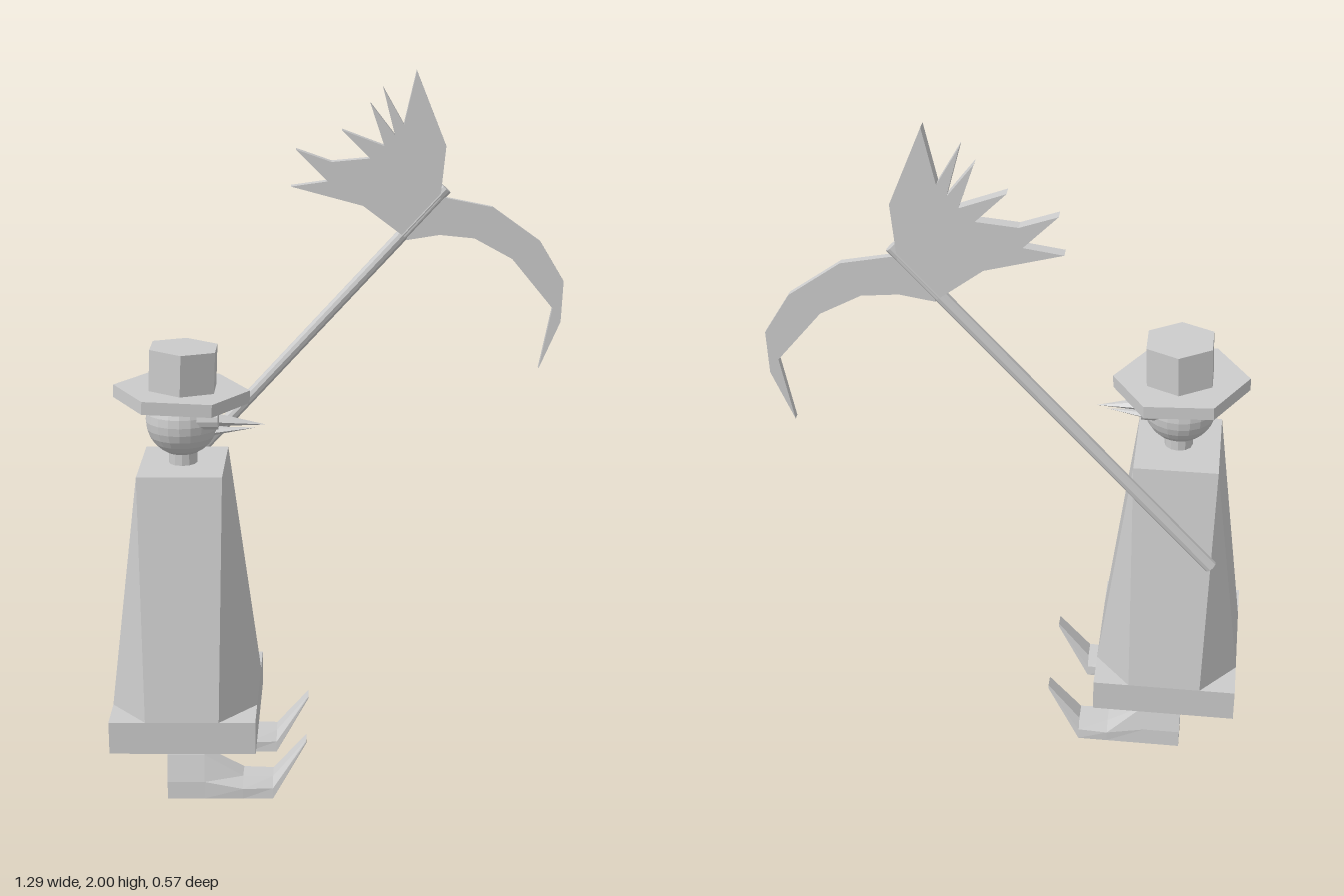
import * as THREE from 'three';

const material = new THREE.MeshStandardMaterial({ color: 0xcccccc, flatShading: true, side: THREE.DoubleSide });
const CX = -0.445, CZ = 0.035;   // figure axis
const SZ = -0.265;               // plane of the scythe

function add(parent, name, geometry, x = 0, y = 0, z = 0) {
  const mesh = new THREE.Mesh(geometry, material);
  mesh.name = name;
  mesh.position.set(x, y, z);
  parent.add(mesh);
  return mesh;
}

// Geometry from triangles given as lists of points; quads are split
function faces(list) {
  const p = [];
  for (const f of list)
    for (let i = 1; i < f.length - 1; i++) p.push(...f[0], ...f[i], ...f[i + 1]);
  const g = new THREE.BufferGeometry();
  g.setAttribute('position', new THREE.Float32BufferAttribute(p, 3));
  g.computeVertexNormals();
  return g;
}

// Flat outline in the xy plane, thickened evenly about its middle
function plate(points, depth) {
  const shape = new THREE.Shape(points.map(([x, y]) => new THREE.Vector2(x, y)));
  return new THREE.ExtrudeGeometry(shape, { depth, bevelEnabled: false }).translate(0, 0, -depth / 2);
}

// Robe: tapering sides with triangular chamfers at the corners
function robeGeometry() {
  const w = 0.205, d = 0.25, tw = 0.118, td = 0.145, iw = 0.103, id = 0.13;
  const y0 = 0.26, y1 = 0.945;
  const list = [[[-tw, y1, td], [tw, y1, td], [tw, y1, -td], [-tw, y1, -td]]];
  for (const s of [1, -1]) {
    list.push([[-s * iw, y0, s * d], [s * iw, y0, s * d], [s * tw, y1, s * td], [-s * tw, y1, s * td]]);
    list.push([[s * w, y0, s * id], [s * w, y0, -s * id], [s * tw, y1, -s * td], [s * tw, y1, s * td]]);
    for (const t of [1, -1]) {
      const P = [s * iw, y0, t * d], Q = [s * w, y0, t * id], T = [s * tw, y1, t * td];
      list.push(s * t > 0 ? [P, Q, T] : [Q, P, T]);
    }
  }
  return faces(list);
}

// Boot: cross-sections from heel to the upturned toe
function bootGeometry() {
  // [x, bottom y, bottom half width, middle y, middle half width, top y, top half width]
  const rows = [
    [-0.495, 0, 0.05, 0.05, 0.046, 0.125, 0.025],
    [-0.39, 0, 0.05, 0.05, 0.046, 0.125, 0.025],
    [-0.28, 0, 0.05, 0.03, 0.05, 0.062, 0.03],
    [-0.195, 0, 0.05, 0.03, 0.046, 0.06, 0.028],
    [-0.1, 0.16, 0.022, 0.165, 0.022, 0.17, 0.02],
  ];
  const rings = rows.map(([x, a, u, b, v, c, t]) =>
    [[x, a, u], [x, b, v], [x, c, t], [x, c, -t], [x, b, -v], [x, a, -u]]);
  const list = [[...rings[0]].reverse(), rings[4]];
  for (let i = 0; i < 4; i++)
    for (let j = 0; j < 6; j++) {
      const k = (j + 1) % 6;
      list.push([rings[i][j], rings[i + 1][j], rings[i + 1][k], rings[i][k]]);
    }
  return faces(list);
}

export function createModel() {
  const model = new THREE.Group();

  // Robe
  add(model, 'robe', robeGeometry(), CX, 0, CZ);
  add(model, 'robeHem', new THREE.BoxGeometry(0.41, 0.095, 0.5), CX, 0.2125, CZ);

  // Legs and boots
  for (const z of [CZ + 0.15, CZ - 0.15]) {
    add(model, 'leg', new THREE.CylinderGeometry(0.018, 0.018, 0.1, 8), -0.455, 0.155, z);
    add(model, 'boot', bootGeometry(), 0, 0, z);
  }

  // Neck and head
  add(model, 'neck', new THREE.CylinderGeometry(0.04, 0.04, 0.07, 12), CX, 0.97, CZ);
  add(model, 'head', new THREE.SphereGeometry(0.102, 20, 14), CX, 1.07, CZ);

  // Round eyes
  for (const s of [1, -1])
    add(model, 'eye', new THREE.CylinderGeometry(0.028, 0.028, 0.07, 12).rotateZ(Math.PI / 2),
      -0.375, 1.085, CZ + s * 0.06);

  // Open beak, upper and lower half
  const beak = add(model, 'upperBeak', new THREE.ConeGeometry(0.032, 0.16, 6).rotateZ(-Math.PI / 2), -0.29, 1.062, CZ);
  beak.scale.y = 0.6;
  beak.rotation.z = -0.1;
  const jaw = add(model, 'lowerBeak', new THREE.ConeGeometry(0.026, 0.13, 6).rotateZ(-Math.PI / 2), -0.305, 1.04, CZ);
  jaw.scale.y = 0.45;
  jaw.rotation.z = 0.08;

  // Hat, tipped slightly forward
  const hat = new THREE.Group();
  hat.name = 'hat';
  hat.position.set(CX, 1.143, CZ);
  hat.rotation.z = -0.045;
  add(hat, 'hatBrim', new THREE.CylinderGeometry(0.19, 0.19, 0.036, 6).rotateY(Math.PI / 6));
  add(hat, 'hatCrown', new THREE.CylinderGeometry(0.104, 0.104, 0.125, 6), 0.003, 0.072, 0);
  model.add(hat);

  // Scythe shaft
  const a = new THREE.Vector3(-0.557, 0.742, SZ), b = new THREE.Vector3(0.297, 1.668, SZ);
  const shaft = add(model, 'scytheShaft', new THREE.CylinderGeometry(0.018, 0.018, a.distanceTo(b), 10));
  shaft.position.copy(a).lerp(b, 0.5);
  shaft.quaternion.setFromUnitVectors(new THREE.Vector3(0, 1, 0), b.clone().sub(a).normalize());

  // Curved blade
  add(model, 'scytheBlade', plate([
    [0.185, 1.52], [0.28, 1.535], [0.38, 1.525], [0.49, 1.465], [0.61, 1.32], [0.575, 1.14],
    [0.635, 1.28], [0.64, 1.4], [0.57, 1.515], [0.43, 1.615], [0.28, 1.645], [0.2, 1.58],
  ], 0.02), 0, 0, SZ);

  // Fan of ragged feathers behind the blade
  add(model, 'featherFan', plate([
    [0.18, 1.53], [0.28, 1.64], [0.295, 1.79], [0.21, 2], [0.175, 1.85], [0.115, 1.955], [0.15, 1.82],
    [0.08, 1.91], [0.12, 1.79], [0, 1.835], [0.08, 1.755], [-0.03, 1.745], [-0.13, 1.78],
    [-0.04, 1.69], [-0.145, 1.675], [0.06, 1.62],
  ], 0.034), 0, 0, SZ);

  return model;
}
